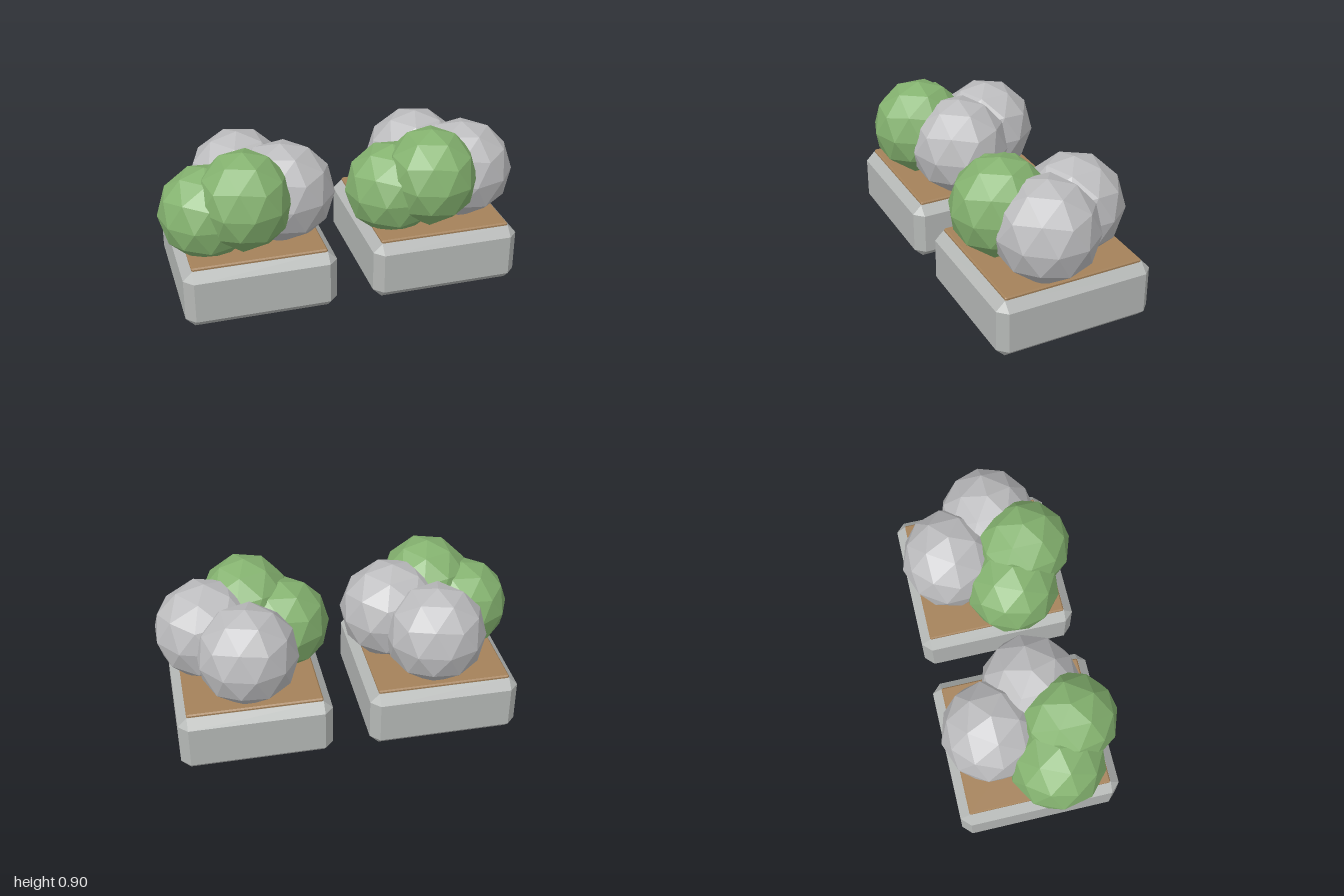
import * as THREE from 'three';
import { ConvexGeometry } from 'three/addons/geometries/ConvexGeometry.js';

const material = (name, color) => {
  const m = new THREE.MeshStandardMaterial({ color, flatShading: true });
  m.name = name;
  return m;
};

// Box with every edge and corner chamfered by c, standing on y = 0
function chamferedBox(w, h, d, c) {
  const points = [];
  for (const sx of [-1, 1]) for (const sy of [-1, 1]) for (const sz of [-1, 1]) {
    for (let axis = 0; axis < 3; axis++) {
      const inset = [c, c, c];
      inset[axis] = 0;
      points.push(new THREE.Vector3(
        sx * (w / 2 - inset[0]),
        h / 2 + sy * (h / 2 - inset[1]),
        sz * (d / 2 - inset[2])
      ));
    }
  }
  return new ConvexGeometry(points);
}

// Faceted ball with a vertex at its pole, spun by an angle in degrees
function facetedBall(radii, spin) {
  const geometry = new THREE.IcosahedronGeometry(1, 1);
  geometry.rotateZ(Math.atan(2 / (1 + Math.sqrt(5))));
  geometry.rotateY(THREE.MathUtils.degToRad(spin - 180));
  geometry.scale(...radii);
  return geometry;
}

export function createModel() {
  const stone = material('planter stone', 0xb5b8b6);
  const earth = material('brown soil', 0xa5825a);
  const green = material('leaf green', 0x84b26f);
  const grey = material('pale grey', 0xbcbcbe);

  const boxGeometry = chamferedBox(0.834, 0.333, 0.894, 0.05);
  const soilGeometry = chamferedBox(0.735, 0.06, 0.79, 0.007);

  // Bushes, placed relative to the planter's centre line
  const bushes = [
    { name: 'frontGreenBush', mat: green, at: [-0.034, 0.62, 0.205], radii: [0.258, 0.276, 0.272], spin: 72 },
    { name: 'sideGreenBush', mat: green, at: [-0.22, 0.525, 0.105], radii: [0.265, 0.262, 0.265], spin: 120 },
    { name: 'sideGreyBush', mat: grey, at: [0.2, 0.566, 0.06], radii: [0.295, 0.284, 0.278], spin: 0 },
    { name: 'backGreyBush', mat: grey, at: [0.015, 0.55, -0.2], radii: [0.28, 0.28, 0.278], spin: 110 },
  ].map((b) => ({ ...b, geometry: facetedBall(b.radii, b.spin) }));

  const model = new THREE.Group();
  model.name = 'planterPair';

  for (const [name, x] of [['rightPlanter', -0.52], ['leftPlanter', 0.52]]) {
    const planter = new THREE.Group();
    planter.name = name;
    planter.position.x = x;

    const add = (partName, geometry, mat, px, py, pz) => {
      const mesh = new THREE.Mesh(geometry, mat);
      mesh.name = partName;
      mesh.position.set(px, py, pz);
      planter.add(mesh);
    };

    add('planterBox', boxGeometry, stone, 0.008, 0, -0.016);
    add('soil', soilGeometry, earth, 0.008, 0.289, -0.016);
    for (const b of bushes) add(b.name, b.geometry, b.mat, ...b.at);

    model.add(planter);
  }
  return model;
}
